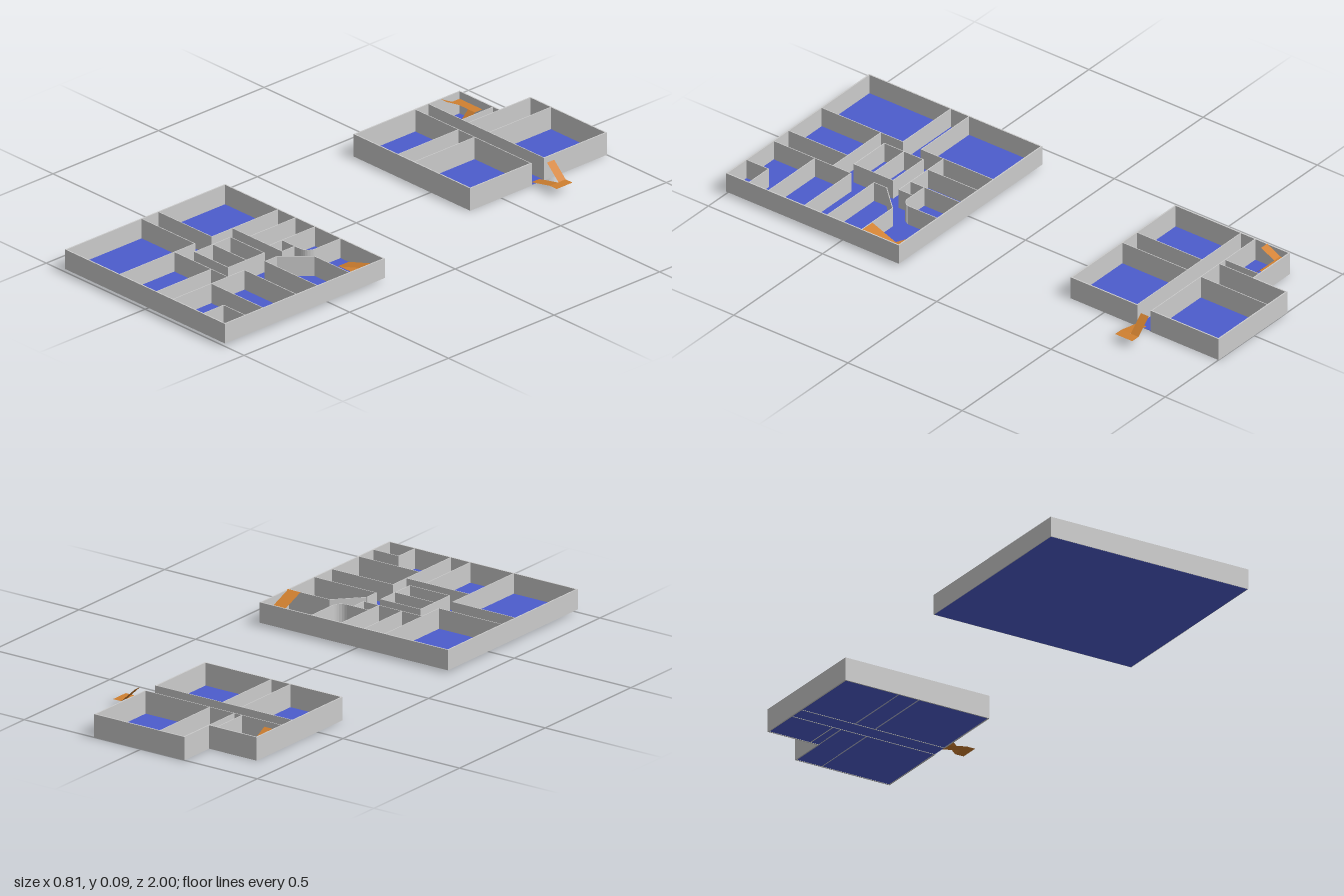
import * as THREE from 'three';

const wallMat = new THREE.MeshStandardMaterial({ color: 0xcccccc, flatShading: true });
const floorMat = new THREE.MeshStandardMaterial({ color: 0x4c5ccc, flatShading: true });
const stairMat = new THREE.MeshStandardMaterial({ color: 0xd08030, flatShading: true, side: THREE.DoubleSide });
const TOP = 0.086;

// A run of upright wall panels along a list of [x, z] plan points
function wallRun(parent, name, points, base, thick = 0.004) {
  const run = new THREE.Group();
  run.name = name;
  for (let i = 0; i < points.length - 1; i++) {
    const [x0, z0] = points[i], [x1, z1] = points[i + 1];
    const length = Math.hypot(x1 - x0, z1 - z0) + thick;
    const panel = new THREE.Mesh(new THREE.BoxGeometry(length, TOP - base, thick), wallMat);
    panel.position.set((x0 + x1) / 2, (TOP + base) / 2, (z0 + z1) / 2);
    panel.rotation.y = -Math.atan2(z1 - z0, x1 - x0);
    panel.name = name + 'Panel';
    run.add(panel);
  }
  parent.add(run);
}

// A floor slab from plan corners, with its underside at y
function floorSlab(parent, points, y) {
  const shape = new THREE.Shape(points.map(([x, z]) => new THREE.Vector2(x, -z)));
  const geo = new THREE.ExtrudeGeometry(shape, { depth: 0.001, bevelEnabled: false });
  geo.rotateX(-Math.PI / 2);
  const slab = new THREE.Mesh(geo, floorMat);
  slab.position.y = y;
  slab.name = 'floor';
  parent.add(slab);
}

// A thin ramp or landing: rectangle in plan, height going from ya to yb along one axis
function ramp(parent, name, x0, x1, z0, z1, axis, ya, yb) {
  const geo = new THREE.PlaneGeometry(1, 1).rotateX(-Math.PI / 2);
  const p = geo.attributes.position;
  for (let i = 0; i < p.count; i++) {
    const u = p.getX(i) + 0.5, v = p.getZ(i) + 0.5;
    p.setXYZ(i, x0 + (x1 - x0) * u, ya + (yb - ya) * (axis === 'x' ? u : v), z0 + (z1 - z0) * v);
  }
  geo.computeVertexNormals();
  const mesh = new THREE.Mesh(geo, stairMat);
  mesh.name = name;
  parent.add(mesh);
}

function lowerStorey() {
  const g = new THREE.Group();
  g.name = 'lowerStorey';
  const base = 0.011, W = -0.403, E = 0.4, N = 0.244, S = 0.997;
  floorSlab(g, [[W, N], [W, S], [E, S], [E, N]], 0.0105);
  wallRun(g, 'outerWall', [[W, N], [E, N], [E, S], [W, S], [W, N]], base, 0.005);

  // Curved corner of the room beside the stair
  const curve = [];
  for (let i = 0; i <= 6; i++) {
    const a = (i / 6) * Math.PI / 2;
    curve.push([0.145 + 0.037 * Math.cos(a), 0.365 + 0.037 * Math.sin(a)]);
  }
  const inner = [
    [[-0.133, N], [-0.133, 0.56], [W, 0.56]],
    [[W, 0.64], [-0.133, 0.64], [-0.133, S]],
    [[-0.133, 0.462], [0.118, 0.462], [0.118, 0.403]],
    [[-0.045, N], [-0.045, 0.462]],
    [[0.053, N], [0.053, 0.462]],
    [[0.182, N], ...curve, [0.053, 0.402]],
    [[E, 0.407], [0.225, 0.407], [0.135, 0.503], [0.135, 0.558], [E, 0.558]],
    [[E, 0.658], [0.137, 0.658], [0.137, S]],
    [[0.137, 0.815], [E, 0.815]],
    [[-0.133, 0.737], [0.137, 0.737]],
    [[0.053, 0.737], [0.053, S]],
    [[0.29, S], [0.29, 0.9], [E, 0.9]],
  ];
  inner.forEach(points => wallRun(g, 'innerWall', points, base, 0.003));
  wallRun(g, 'coreWall', [[-0.086, 0.515], [0.084, 0.515], [0.084, 0.685], [-0.086, 0.685], [-0.086, 0.515]], base, 0.003);
  wallRun(g, 'coreDivider', [[-0.086, 0.599], [0.084, 0.599]], base, 0.003);

  // Corner stair
  const s = new THREE.Group();
  s.name = 'cornerStair';
  ramp(s, 'lowerFlight', 0.225, 0.345, 0.246, 0.3, 'x', 0.012, 0.048);
  ramp(s, 'landing', 0.345, 0.4, 0.246, 0.3, 'x', 0.048, 0.048);
  ramp(s, 'upperFlight', 0.345, 0.4, 0.3, 0.402, 'z', 0.048, 0.088);
  g.add(s);
  return g;
}

function upperStorey() {
  const g = new THREE.Group();
  g.name = 'upperStorey';
  const W = -0.388, E = 0.197, N = -0.998, S = -0.355, cN = -0.705, cS = -0.642, step = -0.185, wN = -0.853;
  floorSlab(g, [[W, wN], [W, S], [E, S], [E, N], [step, N], [step, wN]], 0.001);
  // Outer wall, left open at the corridor end
  wallRun(g, 'outerWall', [[E, cN], [E, N], [step, N], [step, wN], [W, wN], [W, S], [E, S], [E, cS]], 0, 0.005);
  const inner = [
    [[W, cN], [E, cN]],
    [[W, cS], [E, cS]],
    [[step, wN], [step, cN]],
    [[-0.218, wN], [-0.218, cN]],
    [[-0.08, N], [-0.08, cN]],
    [[-0.169, cS], [-0.169, S]],
    [[-0.087, cS], [-0.087, S]],
  ];
  inner.forEach(points => wallRun(g, 'innerWall', points, 0, 0.003));

  // Indoor U-shaped stair
  const u = new THREE.Group();
  u.name = 'indoorStair';
  ramp(u, 'lowerFlight', -0.305, -0.27, -0.815, -0.758, 'z', 0.058, 0.003);
  ramp(u, 'landing', -0.386, -0.27, -0.852, -0.815, 'x', 0.058, 0.058);
  ramp(u, 'upperFlight', -0.386, -0.352, -0.815, -0.758, 'z', 0.058, 0.088);
  g.add(u);

  // Outdoor stair at the corridor end
  const o = new THREE.Group();
  o.name = 'outdoorStair';
  ramp(o, 'lowerFlight', 0.197, 0.29, -0.683, -0.645, 'x', 0.012, 0.031);
  ramp(o, 'landing', 0.29, 0.325, -0.72, -0.645, 'x', 0.031, 0.031);
  ramp(o, 'upperFlight', 0.232, 0.29, -0.72, -0.686, 'x', 0.086, 0.031);
  g.add(o);
  return g;
}

export function createModel() {
  const model = new THREE.Group();
  model.name = 'floorPlans';
  model.add(lowerStorey(), upperStorey());
  return model;
}
